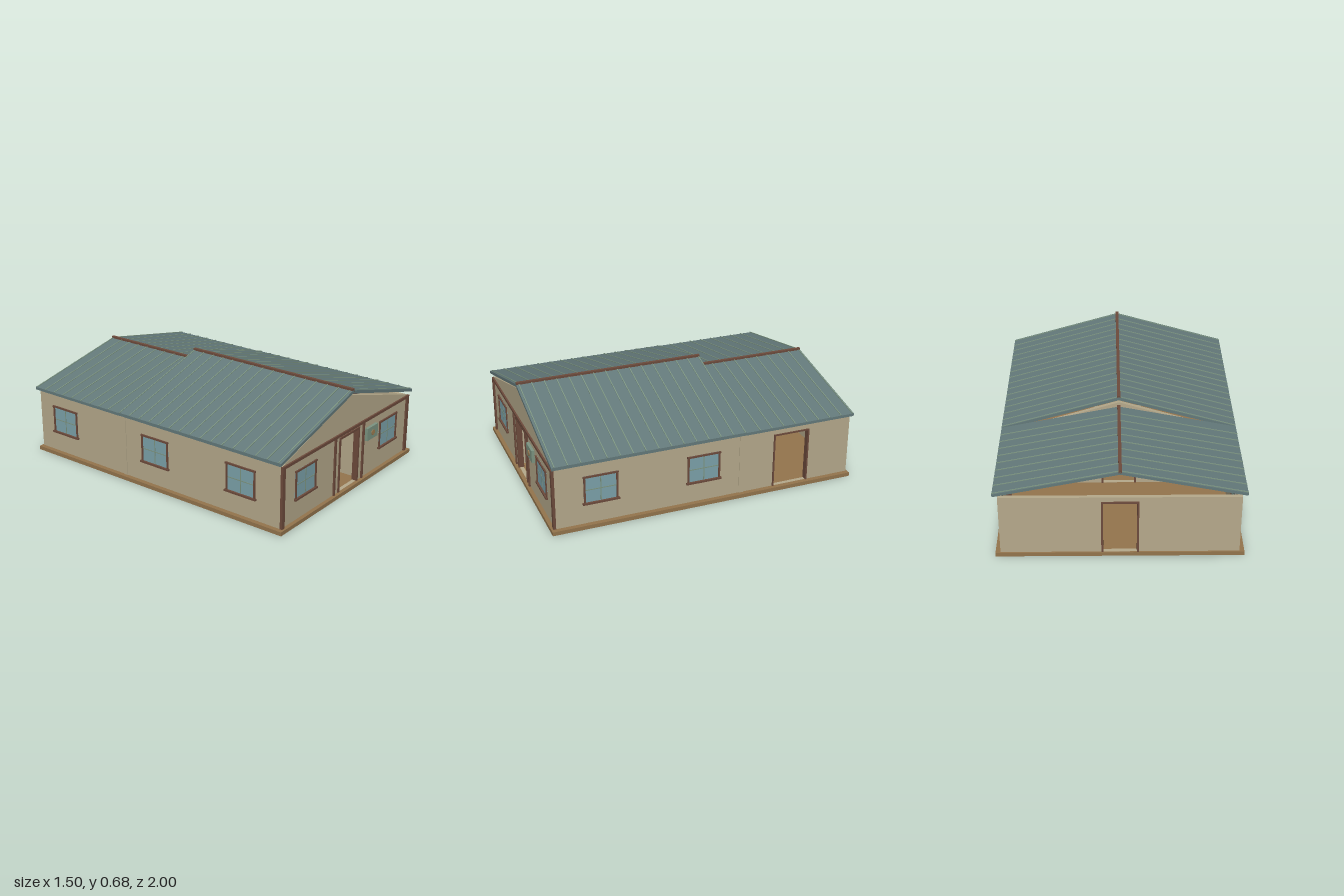
import * as THREE from 'three';

const mat = (name, color) => {
  const m = new THREE.MeshStandardMaterial({ color });
  m.name = name;
  return m;
};
const M = {
  wall: mat('tan wall', 0xb6aa8c),
  roof: mat('slate roof', 0x647a7b),
  rib: mat('sage', 0x7d9582),
  trim: mat('dark brown trim', 0x6d4b3c),
  floor: mat('brown floor', 0x94754d),
  glass: mat('blue glass', 0x7da3ab),
  boss: mat('ochre boss', 0xa07f52),
};

const T = 0.025;      // wall thickness
const BASE = 0.025;   // top of floor slab
const TOP = 0.42;     // top of walls

function add(parent, name, geo, material, x = 0, y = 0, z = 0) {
  const mesh = new THREE.Mesh(geo, material);
  mesh.name = name;
  mesh.position.set(x, y, z);
  parent.add(mesh);
  return mesh;
}

// Box given by its two extents on every axis
function box(parent, name, material, x0, x1, y0, y1, z0, z1) {
  return add(parent, name, new THREE.BoxGeometry(x1 - x0, y1 - y0, z1 - z0), material,
    (x0 + x1) / 2, (y0 + y1) / 2, (z0 + z1) / 2);
}

// Window with frame, sill, head and glazing bars; outer wall face is local z = 0
function addWindow(wall, cx) {
  const g = new THREE.Group();
  g.name = 'window';
  g.position.x = cx;
  const w = 0.108, y0 = 0.16, y1 = 0.345, f = 0.011;
  const zi = -T - 0.005, zo = 0.008;
  box(g, 'glass', M.glass, -w, w, y0, y1, -T - 0.001, 0.001);
  for (const s of [-1, 1]) {
    const a = s * w, b = s * (w - f);
    box(g, 'windowSide', M.trim, Math.min(a, b), Math.max(a, b), y0, y1, zi, zo);
  }
  box(g, 'windowHead', M.trim, -w - 0.003, w + 0.003, y1 - f, y1, zi, zo + 0.002);
  box(g, 'windowSill', M.trim, -w - 0.008, w + 0.008, y0 - 0.005, y0 + 0.007, zi, zo + 0.006);
  box(g, 'verticalBar', M.rib, -0.003, 0.003, y0 + f, y1 - f, -T - 0.003, 0.003);
  box(g, 'horizontalBar', M.rib, -w + f, w - f, 0.247, 0.253, -T - 0.003, 0.003);
  wall.add(g);
}

// Open doorway frame, fitted to a hole of half width hw
function addDoorFrame(wall, cx, hw, f) {
  const g = new THREE.Group();
  g.name = 'doorFrame';
  g.position.x = cx;
  const top = 0.38;
  box(g, 'leftJamb', M.trim, hw - 0.002, hw + f, BASE, top + f, -T - 0.005, 0.007);
  box(g, 'rightJamb', M.trim, -hw - f, -hw + 0.002, BASE, top + f, -T - 0.005, 0.007);
  box(g, 'lintel', M.trim, -hw, hw, top - 0.002, top + f, -T - 0.005, 0.007);
  wall.add(g);
}

// Wall along local x from a to b, outward is local +z; optional gable peak
function addWall(parent, name, a, b, { windows = [], door = null, hw = 0.103, f = 0.012, peak = 0 }) {
  const g = new THREE.Group();
  g.name = name;
  const s = new THREE.Shape();
  s.moveTo(a, BASE);
  s.lineTo(b, BASE);
  s.lineTo(b, TOP);
  if (peak) s.lineTo((a + b) / 2, peak);
  s.lineTo(a, TOP);
  s.closePath();
  const hole = (x0, x1, y0, y1) => {
    const h = new THREE.Path();
    h.moveTo(x0, y0);
    h.lineTo(x0, y1);
    h.lineTo(x1, y1);
    h.lineTo(x1, y0);
    h.closePath();
    s.holes.push(h);
  };
  if (door !== null) hole(door - hw, door + hw, BASE + 0.0005, 0.38);
  for (const x of windows) hole(x - 0.1, x + 0.1, 0.17, 0.335);
  const geo = new THREE.ExtrudeGeometry(s, { depth: T, bevelEnabled: false });
  geo.translate(0, 0, -T);
  add(g, name + 'Panel', geo, M.wall);
  windows.forEach((x) => addWindow(g, x));
  if (door !== null) addDoorFrame(g, door, hw, f);
  parent.add(g);
  return g;
}

// Gabled roof section with standing seams and a ridge cap
function addRoof(parent, name, apex, eave, thick, z0, z1, ribs) {
  const g = new THREE.Group();
  g.name = name;
  const w = 0.75;
  const s = new THREE.Shape();
  [[0, apex], [-w, eave], [-w, eave - thick], [0, apex - thick], [w, eave - thick], [w, eave]]
    .forEach(([x, y], i) => (i ? s.lineTo(x, y) : s.moveTo(x, y)));
  s.closePath();
  const geo = new THREE.ExtrudeGeometry(s, { depth: z1 - z0, bevelEnabled: false });
  geo.translate(0, 0, z0);
  add(g, 'roofSheet', geo, M.roof);
  const angle = Math.atan2(apex - eave, w);
  const length = Math.hypot(apex - eave, w);
  for (const z of ribs) {
    for (const side of [-1, 1]) {
      const rib = add(g, 'roofSeam', new THREE.BoxGeometry(length, 0.006, 0.006), M.rib,
        side * w / 2, (apex + eave) / 2 + 0.001, z);
      rib.rotation.z = -side * angle;
    }
  }
  box(g, 'ridgeCap', M.trim, -0.01, 0.01, apex - 0.014, apex + 0.011, z0, z1);
  parent.add(g);
}

export function createModel() {
  const house = new THREE.Group();
  house.name = 'house';

  box(house, 'floorSlab', M.floor, -0.75, 0.75, 0, BASE, -1, 1);

  // Outer walls
  const X = 0.72, FZ = 0.975, BZ = -0.99;
  const front = addWall(house, 'frontWall', -X, X, { windows: [-0.475, 0.47], door: 0, peak: 0.635 });
  front.position.z = FZ;
  const back = addWall(house, 'backWall', -X, X, { door: 0, f: 0.01 });
  back.rotation.y = Math.PI;
  back.position.z = BZ;
  const right = addWall(house, 'doorSideWall', -FZ + T, -BZ - T,
    { windows: [-0.685, -0.02], door: 0.577, hw: 0.115, f: 0.008 });
  right.rotation.y = Math.PI / 2;
  right.position.x = X;
  const left = addWall(house, 'windowSideWall', BZ + T, FZ - T, { windows: [-0.76, 0.02, 0.685] });
  left.rotation.y = -Math.PI / 2;
  left.position.x = -X;

  // Inner walls
  const partition = addWall(house, 'partition', -X + T, X - T, { door: 0, peak: 0.635 });
  partition.position.z = -0.225;
  for (const s of [-1, 1]) {
    box(house, 'hallWall', M.wall, s * 0.16 - T / 2, s * 0.16 + T / 2, BASE, TOP, 0.7, FZ - T);
    box(house, 'wallJoint', M.wall, s * X - 0.004, s * X + 0.004, BASE, TOP, -0.25, -0.22);
  }

  // Timber framing on the front
  for (const s of [-1, 1]) {
    box(house, 'cornerPost', M.trim, s * 0.709 - 0.013, s * 0.709 + 0.013, BASE, TOP, FZ - 0.005, FZ + 0.012);
    box(house, 'hallPost', M.trim, s * 0.162 - 0.008, s * 0.162 + 0.008, BASE, TOP - 0.015, FZ - 0.005, FZ + 0.01);
  }
  box(house, 'frontBeam', M.trim, -0.715, 0.715, 0.402, TOP, FZ - 0.005, FZ + 0.011);

  // Wall plaque with a small round boss
  box(house, 'plaque', M.rib, 0.19, 0.316, 0.27, 0.354, FZ, 0.994);
  const boss = add(house, 'plaqueBoss', new THREE.CylinderGeometry(0.02, 0.02, 0.006, 6), M.boss, 0.253, 0.312, 0.996);
  boss.rotation.x = Math.PI / 2;

  // Roofs
  const ribs = (start, n) => Array.from({ length: n }, (_, i) => start - i * 0.081);
  addRoof(house, 'frontRoof', 0.67, 0.455, 0.02, -0.25, 0.99, ribs(0.973, 16));
  addRoof(house, 'rearRoof', 0.604, 0.452, 0.018, -1, -0.25, ribs(-0.342, 9));

  return house;
}
